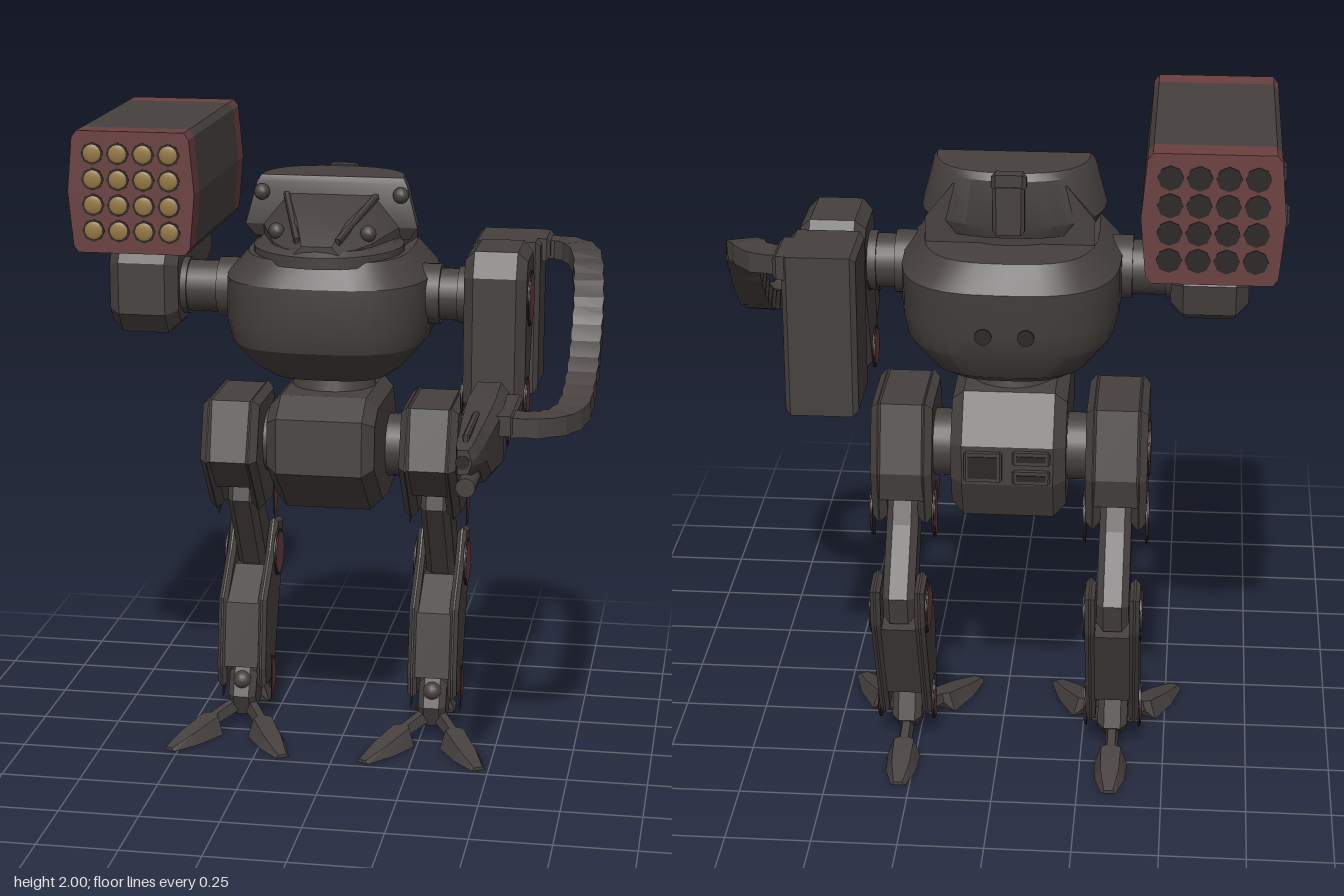
import * as THREE from 'three';
import { toCreasedNormals } from 'three/addons/utils/BufferGeometryUtils.js';

const mat = (name, color) => Object.assign(new THREE.MeshStandardMaterial({ color }), { name });
const armour = mat('dark armour', 0x46413f);
const red = mat('dull red', 0x6b4040);
const brass = mat('brass', 0x957843);
const black = mat('recess black', 0x2b2726);

function add(parent, name, geo, material, x = 0, y = 0, z = 0) {
  const m = new THREE.Mesh(geo, material);
  m.name = name;
  m.position.set(x, y, z);
  parent.add(m);
  return m;
}

// Chamfered plate: a [z, y] side profile extruded to a width along x, centred on x
function slab(profile, width, bevel) {
  const shape = new THREE.Shape(profile.map(([z, y]) => new THREE.Vector2(z, y)));
  const g = new THREE.ExtrudeGeometry(shape, {
    depth: width - 2 * bevel, bevelEnabled: bevel > 0, bevelSize: bevel,
    bevelThickness: bevel, bevelOffset: -bevel, bevelSegments: 1,
  });
  return g.translate(0, 0, bevel - width / 2).rotateY(-Math.PI / 2);
}

const rect = (w, h) => [[-w / 2, -h / 2], [w / 2, -h / 2], [w / 2, h / 2], [-w / 2, h / 2]];
const block = (w, h, d, b = 0.015) => slab(rect(d, h), w, b);
const axle = (r, len, sides = 24) => new THREE.CylinderGeometry(r, r, len, sides).rotateZ(Math.PI / 2);

// Closed skin through equal-length rings of points
function loft(rings, crease = 0.5) {
  const n = rings[0].length, pos = [], idx = [];
  rings.forEach(r => r.forEach(p => pos.push(...p)));
  for (let k = 0; k < rings.length - 1; k++) {
    for (let i = 0; i < n; i++) {
      const a = k * n + i, b = k * n + (i + 1) % n;
      idx.push(a, b, a + n, b, b + n, a + n);
    }
  }
  const last = (rings.length - 1) * n;
  for (let i = 1; i < n - 1; i++) idx.push(0, i + 1, i, last, last + i, last + i + 1);
  // Turn the skin outward if its signed volume is negative
  const v = i => new THREE.Vector3().fromArray(pos, i * 3);
  let vol = 0;
  for (let i = 0; i < idx.length; i += 3) vol += v(idx[i]).dot(v(idx[i + 1]).cross(v(idx[i + 2])));
  if (vol < 0) idx.reverse();
  const g = new THREE.BufferGeometry();
  g.setAttribute('position', new THREE.Float32BufferAttribute(pos, 3));
  g.setIndex(idx);
  return toCreasedNormals(g, crease);
}

// Red hub caps on both faces of a limb; a half cap is cut off flat at the bottom
function hubs(parent, x, half, y, z, r, cut = false, tilt = 0) {
  for (const s of [-1, 1]) {
    const g = new THREE.CylinderGeometry(r, r, 0.008, 28, 1, false, 0, cut ? Math.PI : Math.PI * 2);
    const rim = new THREE.CylinderGeometry(r + 0.008, r + 0.008, 0.006, 28, 1, false, 0, cut ? Math.PI : Math.PI * 2);
    for (const [geo, m, nm] of [[rim, black, 'hubRim'], [g, red, 'hubCap']]) {
      geo.rotateZ(Math.PI / 2);
      if (cut) geo.rotateX(-Math.PI / 2 + tilt);
      add(parent, nm, geo, m, x + s * (half + (m === red ? 0.003 : 0.001)), y, z);
    }
  }
}

function toe(len) {
  const sec = [[0, 0.02, 0.05, 0.09], [0.42, 0.02, 0.03, 0.06], [0.46, 0.05, 0, 0.06], [0.75, 0.045, 0, 0.035], [1, 0.022, 0, 0.01]];
  return loft(sec.map(([t, w, a, b]) => [[-w, a, t * len], [w, a, t * len], [w * 0.6, b, t * len], [-w * 0.6, b, t * len]]), 0.2);
}

function makeLeg(x) {
  const leg = new THREE.Group();
  leg.name = 'leg';
  leg.position.x = x;
  const hip = [[-0.165, 1.135], [-0.435, 1.135], [-0.49, 0.93], [-0.455, 0.76], [-0.38, 0.74], [-0.26, 0.75], [-0.1, 0.945]];
  const hipCore = [[-0.17, 1.13], [-0.43, 1.13], [-0.484, 0.93], [-0.47, 0.84], [-0.2, 0.84], [-0.11, 0.945]];
  const shin = [[-0.53, 0.64], [-0.63, 0.62], [-0.62, 0.5], [-0.445, 0.11], [-0.295, 0.13], [-0.285, 0.2], [-0.32, 0.425], [-0.46, 0.55]];
  const shinCore = [[-0.325, 0.41], [-0.46, 0.5], [-0.6, 0.48], [-0.475, 0.2], [-0.29, 0.2]];
  add(leg, 'hipCore', slab(hipCore, 0.13, 0), armour);
  add(leg, 'shinCore', slab(shinCore, 0.11, 0), armour);
  for (const s of [-1, 1]) {
    add(leg, 'hipPlate', slab(hip, 0.045, 0.021), armour, s * 0.0675);
    add(leg, 'shinPlate', slab(shin, 0.03, 0.012), armour, s * 0.065);
  }
  add(leg, 'thigh', slab([[-0.33, 0.84], [-0.43, 0.84], [-0.47, 0.76], [-0.6, 0.58], [-0.58, 0.49], [-0.49, 0.48], [-0.44, 0.56], [-0.31, 0.76]], 0.094, 0.02), armour);
  hubs(leg, 0, 0.09, 0.97, -0.325, 0.078);
  hubs(leg, 0, 0.09, 0.775, -0.375, 0.078, true, 0.1);
  hubs(leg, 0, 0.08, 0.525, -0.53, 0.07);
  hubs(leg, 0, 0.08, 0.14, -0.37, 0.068, true, -0.1);
  // Ankle and three toes
  add(leg, 'ankle', slab([[-0.32, 0.19], [-0.4, 0.19], [-0.44, 0.08], [-0.4, 0.04], [-0.31, 0.03], [-0.28, 0.1]], 0.09, 0.02), armour);
  add(leg, 'ankleBolt', new THREE.SphereGeometry(0.03, 16, 10), armour, 0, 0.15, -0.31);
  for (const [dx, dz] of [[-0.185, 0.34], [0.185, 0.34], [0, -0.31]]) {
    add(leg, 'toe', toe(Math.hypot(dx, dz)), armour, 0, 0, -0.37).rotation.y = Math.atan2(dx, dz);
  }
  return leg;
}

// Rounded-square plan ring for the torso
function planRing(y, hw, back, front, n = 3) {
  const p = (c, e) => Math.sign(c) * Math.abs(c) ** (2 / e);
  return Array.from({ length: 32 }, (_, i) => {
    const a = i / 32 * Math.PI * 2;
    return [hw * p(Math.cos(a), n), y, (front + back) / 2 + (front - back) / 2 * p(Math.sin(a), n)];
  });
}

function makeHead() {
  const head = new THREE.Group();
  head.name = 'head';
  // Sloping canopy
  const sec = [[-0.4, 0.24, 0.16, 1.7, 1.8], [-0.2, 0.21, 0.13, 1.69, 1.785], [-0.03, 0.15, 0.075, 1.67, 1.735], [0.065, 0.07, 0.045, 1.65, 1.675]];
  add(head, 'canopy', loft(sec.map(([z, w, t, m, h]) => [[-w, 1.61, z], [w, 1.61, z], [w, m, z], [t, h, z], [-t, h, z], [-w, m, z]]), 0.3), armour);
  add(head, 'chinCollar', loft([[1.61, 0], [1.645, 0], [1.66, 0.02]].map(([y, k]) => planRing(y, 0.23 - k, -0.42, 0.085 - k, 2)), 0.4), armour);
  // Crescent helmet shell, flat at the front
  const ring = (y, hw, back, front) => Array.from({ length: 17 }, (_, i) => {
    const a = i / 16 * Math.PI;
    return [hw * Math.sign(Math.cos(a)) * Math.abs(Math.cos(a)) ** 0.8, y, front - (front - back) * Math.sin(a) ** 0.8];
  });
  add(head, 'helmet', loft([ring(1.65, 0.24, -0.43, -0.22), ring(1.69, 0.267, -0.445, -0.2), ring(1.82, 0.232, -0.435, -0.21), ring(1.84, 0.22, -0.42, -0.22)], 0.5), armour);
  for (const s of [-1, 1]) {
    for (const [x, y] of [[0.215, 1.79], [0.14, 1.7]]) {
      add(head, 'helmetBolt', new THREE.SphereGeometry(0.025, 14, 8), armour, s * x, y, x > 0.2 ? -0.2 : -0.04);
    }
    add(head, 'canopyRail', block(0.02, 0.02, 0.28, 0.004), armour, s * 0.1, 1.735, -0.08).rotation.set(0.36, -s * 0.28, 0);
  }
  add(head, 'sensor', block(0.1, 0.05, 0.04, 0.012), armour, 0, 1.82, -0.435);
  add(head, 'neckGuard', block(0.09, 0.14, 0.03, 0.01), armour, 0, 1.74, -0.445);
  return head;
}

function makePod() {
  const pod = new THREE.Group();
  pod.name = 'rocketPod';
  pod.position.set(-0.6, 1.815, 0);
  const half = [[0.165, 0.185], [0.18, 0.165], [0.195, 0], [0.18, -0.165], [0.165, -0.185]];
  const outline = [...half, ...half.map(([x, y]) => [-x, -y])].map(p => new THREE.Vector2(...p));
  const piece = depth => new THREE.ExtrudeGeometry(new THREE.Shape(outline), { depth, bevelEnabled: false });
  add(pod, 'podBody', piece(0.58), armour, 0, 0, -0.62);
  add(pod, 'podFrontRim', piece(0.078), red, 0, 0, -0.04);
  add(pod, 'podBackRim', piece(0.08), red, 0, 0, -0.7);
  for (let i = 0; i < 4; i++) {
    for (let j = 0; j < 4; j++) {
      const x = (i - 1.5) * 0.078, y = (j - 1.5) * 0.078;
      const hole = new THREE.CylinderGeometry(0.035, 0.035, 0.006, 8).rotateX(Math.PI / 2);
      add(pod, 'tube', hole, black, x, y, 0.037);
      add(pod, 'tube', hole, black, x, y, -0.7);
      add(pod, 'rocket', new THREE.SphereGeometry(0.029, 16, 10).scale(1, 1, 0.25), brass, x, y, 0.038);
    }
  }
  add(pod, 'podRail', block(0.02, 0.03, 0.3, 0.004), armour, -0.19, -0.05, -0.31);
  for (const z of [-0.5, -0.12]) add(pod, 'railMount', block(0.04, 0.05, 0.06, 0.008), armour, -0.19, -0.05, z);
  return pod;
}

function makeGunArm() {
  const arm = new THREE.Group();
  arm.name = 'gunArm';
  const X = 0.49;
  add(arm, 'upperArm', slab([[-0.1, 1.645], [-0.3, 1.645], [-0.34, 1.58], [-0.34, 1.4], [-0.22, 1.14], [-0.12, 1.11], [-0.06, 1.17], [-0.06, 1.57]], 0.19, 0.03), armour, X);
  hubs(arm, X, 0.095, 1.485, -0.2, 0.078);
  hubs(arm, X, 0.095, 1.19, -0.138, 0.055);
  add(arm, 'elbowLink', slab([[-0.2, 1.13], [-0.17, 1.24], [0.1, 1.23], [0.12, 1.1], [-0.1, 1.1]], 0.08, 0.015), armour, X);
  // Gun tapers toward the muzzle
  const sec = [[0.03, 0.06, 1.07, 1.275], [0.24, 0.068, 1.062, 1.275], [0.455, 0.055, 1.085, 1.262], [0.52, 0.048, 1.14, 1.258], [0.66, 0.038, 1.165, 1.25], [0.695, 0.025, 1.175, 1.245]];
  add(arm, 'gun', loft(sec.map(([z, w, a, b]) => [[-0.6, a], [0.6, a], [1, a + 0.03], [1, b - 0.03], [0.6, b], [-0.6, b]].map(([k, y]) => [X + k * w, y, z])), 0.3), armour);
  hubs(arm, X, 0.062, 1.16, 0.085, 0.055);
  add(arm, 'lowerBarrel', new THREE.CylinderGeometry(0.028, 0.028, 0.2, 16).rotateX(Math.PI / 2), armour, X, 1.115, 0.52);
  add(arm, 'muzzle', new THREE.CylinderGeometry(0.02, 0.02, 0.006, 16).rotateX(Math.PI / 2), black, X, 1.21, 0.695);
  add(arm, 'gunRib', block(0.02, 0.02, 0.26, 0.005), armour, X, 1.262, 0.5);
  add(arm, 'feedPort', block(0.06, 0.06, 0.26, 0.01), armour, 0.565, 1.22, 0.2);
  // Ammunition box and feed belt
  add(arm, 'ammoBox', block(0.21, 0.48, 0.23, 0.015), armour, 0.495, 1.39, -0.46);
  add(arm, 'beltCap', block(0.08, 0.07, 0.16, 0.012), armour, 0.585, 1.595, -0.49);
  const path = new THREE.CatmullRomCurve3([
    [0.58, 1.59, -0.49], [0.67, 1.59, -0.475], [0.735, 1.58, -0.38], [0.76, 1.49, -0.24], [0.765, 1.36, -0.11],
    [0.762, 1.27, 0.02], [0.745, 1.22, 0.17], [0.68, 1.215, 0.265], [0.56, 1.215, 0.28],
  ].map(p => new THREE.Vector3(...p)));
  const rings = [];
  for (let i = 0; i <= 36; i++) {
    const p = path.getPointAt(i / 36), t = path.getTangentAt(i / 36);
    const side = new THREE.Vector3(t.z, 0, -t.x).normalize(), up = t.clone().cross(side);
    const k = i % 2 ? 1 : 0.92;
    rings.push([[-1, -1], [1, -1], [1, 1], [-1, 1]].map(([a, b]) =>
      p.clone().addScaledVector(side, a * 0.047 * k).addScaledVector(up, b * 0.03 * k).toArray()));
  }
  add(arm, 'feedBelt', loft(rings, 0.15), armour);
  return arm;
}

export function createModel() {
  const model = new THREE.Group();
  model.name = 'walkingMachine';
  const body = new THREE.Group();
  body.name = 'body';
  body.position.x = -0.03;
  model.add(body);

  // Torso
  const rings = [[1.235, 0.19, -0.48, -0.06], [1.27, 0.235, -0.54, 0], [1.35, 0.3, -0.59, 0.08], [1.42, 0.315, -0.605, 0.1], [1.55, 0.315, -0.62, 0.095], [1.625, 0.25, -0.57, 0.05]];
  add(body, 'torso', loft(rings.map(r => planRing(...r)), 0.45), armour);
  for (const s of [-1, 1]) {
    add(body, 'backPort', new THREE.CylinderGeometry(0.024, 0.024, 0.02, 16).rotateX(Math.PI / 2), black, s * 0.06, 1.42, -0.6);
  }
  body.add(makeHead());
  add(body, 'waist', new THREE.CylinderGeometry(0.115, 0.135, 0.09, 28), armour, 0, 1.205, -0.26);

  // Pelvis and legs
  add(body, 'pelvis', slab([[0.03, 1.13], [0.04, 0.96], [-0.16, 0.8], [-0.3, 0.78], [-0.46, 0.8], [-0.51, 0.92], [-0.51, 1.04], [-0.42, 1.175], [-0.06, 1.185]], 0.335, 0.035), armour);
  for (const [x, y, w, h] of [[0.07, 0.98, 0.11, 0.09], [-0.07, 1.01, 0.11, 0.04], [-0.07, 0.95, 0.11, 0.04]]) {
    add(body, 'backVentFrame', block(w, h, 0.02, 0.006), armour, x, y, -0.515);
    add(body, 'backVent', new THREE.BoxGeometry(w - 0.025, h - 0.022, 0.006), black, x, y, -0.525);
  }
  for (const s of [-1, 1]) {
    add(body, 'hipAxle', axle(0.1, 0.12), armour, s * 0.19, 0.97, -0.325);
    body.add(makeLeg(s * 0.314));
    add(body, 'shoulderAxle', axle(0.08, 0.26), armour, s * 0.37, 1.49, -0.2);
    add(body, 'shoulderCollar', axle(0.093, 0.06), armour, s * 0.315, 1.49, -0.2);
    add(body, 'shoulderCollar', axle(0.088, 0.03), armour, s > 0 ? 0.415 : -0.455, 1.49, -0.2);
  }

  // Arms
  model.add(makeGunArm());
  add(model, 'podArm', slab([[-0.06, 1.58], [-0.06, 1.42], [-0.11, 1.355], [-0.24, 1.35], [-0.62, 1.51], [-0.635, 1.6], [-0.6, 1.64], [-0.1, 1.64]], 0.215, 0.035), armour, -0.597);
  hubs(model, -0.597, 0.1075, 1.49, -0.2, 0.078);
  model.add(makePod());
  return model;
}
